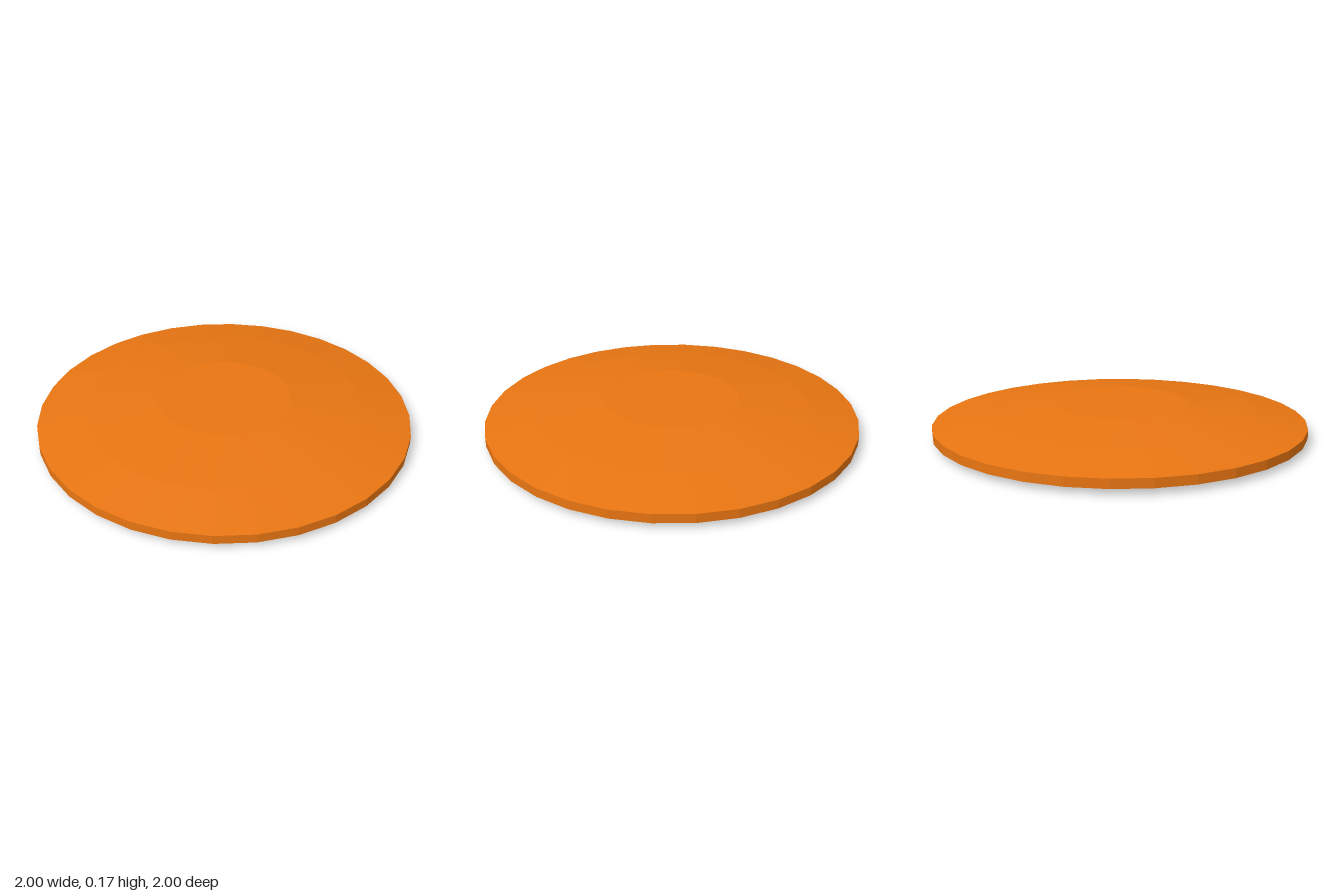
import * as THREE from 'three';

// Low-poly domed disc with a shallow recess underneath
export function createModel() {
  const group = new THREE.Group();
  group.name = 'disc';

  // Half cross-section, from the underside centre round the rim to the top centre
  const profile = [
    [0, 0.035], [0.79, 0.035],  // recess floor
    [0.83, 0],                  // foot edge
    [1, 0.03], [1, 0.077],      // outer rim
    [0.74, 0.125], [0.36, 0.17], // stepped dome
    [0, 0.17],                  // flat crown
  ].map(([r, y]) => new THREE.Vector2(r, y));

  const body = new THREE.Mesh(
    new THREE.LatheGeometry(profile, 32),
    new THREE.MeshStandardMaterial({ color: 0xe87512, flatShading: true })
  );
  body.name = 'discBody';
  group.add(body);
  return group;
}
